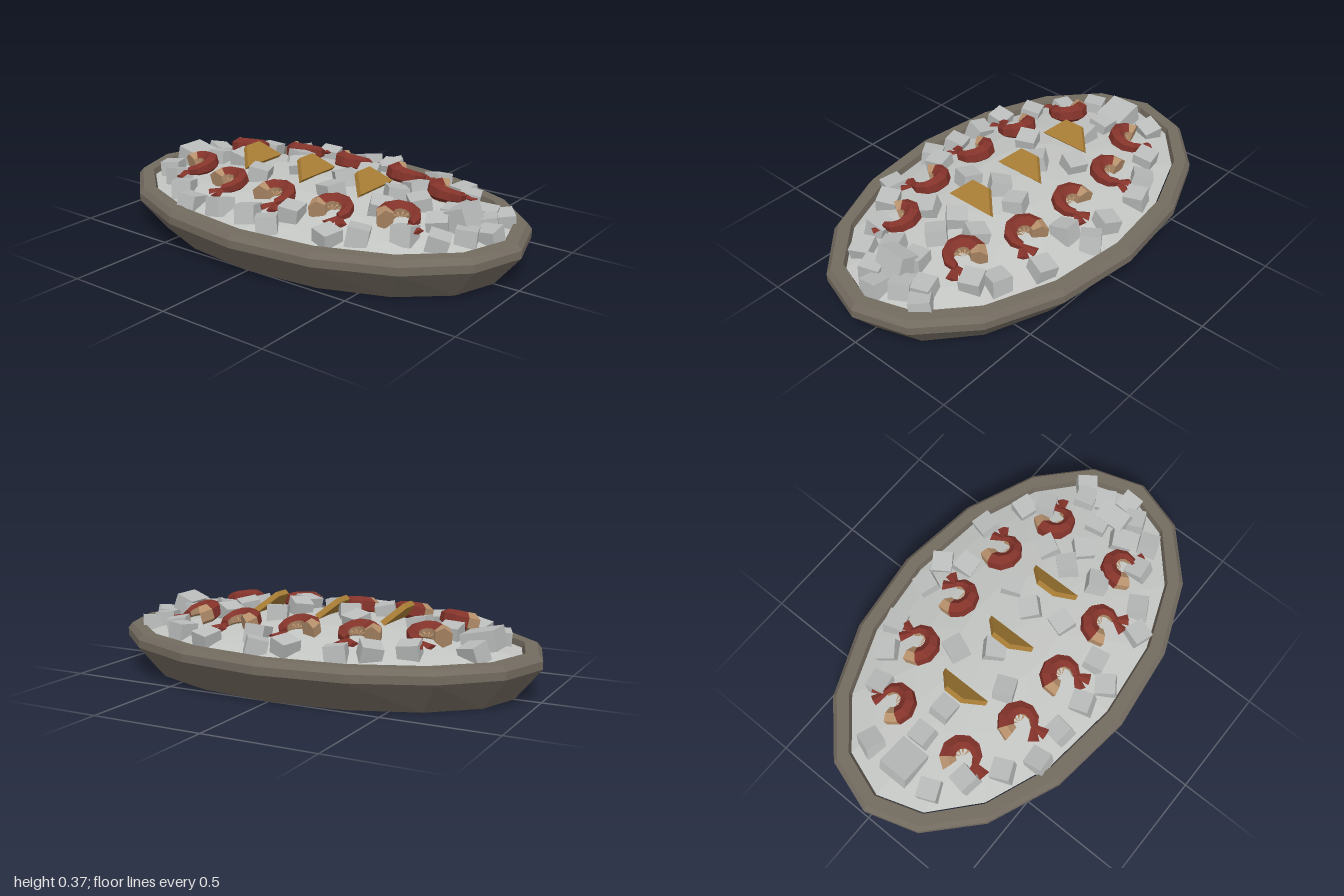
import * as THREE from 'three';

const mat = (name, color, side = THREE.FrontSide) =>
  new THREE.MeshStandardMaterial({ name, color, flatShading: true, side });

// Height of the ice mound at a point
const bedHeight = (x, z) => 0.285 - 0.11 * ((x / 0.915) ** 2 + (z / 0.54) ** 2);

// Small seeded random in -1..1
function seeded(seed) {
  return () => {
    seed = (seed * 16807) % 2147483647;
    return (seed / 2147483647) * 2 - 1;
  };
}

export function createModel() {
  const stone = mat('stone', 0x736b60);
  const ice = mat('ice', 0xc3c5c2);
  const cubeIce = mat('ice cube', 0xb9bcbb);
  const red = mat('red shell', 0x83332a);
  const tan = mat('tan flesh', 0xb58f6b);
  const yellow = mat('lemon', 0xa87d35);

  const model = new THREE.Group();
  const add = (parent, name, geometry, material) => {
    const mesh = new THREE.Mesh(geometry, material);
    mesh.name = name;
    parent.add(mesh);
    return mesh;
  };

  // Oval dish: a 16-sided lathe, narrowed in z by a constant offset
  const dishProfile = [[0, 0], [0.885, 0], [1, 0.14], [1, 0.175], [0.98, 0.2],
    [0.925, 0.2], [0.912, 0.14]].map(p => new THREE.Vector2(...p));
  const dish = new THREE.LatheGeometry(dishProfile, 16);
  const pos = dish.attributes.position;
  for (let i = 0; i < pos.count; i++) {
    const r = Math.hypot(pos.getX(i), pos.getZ(i));
    if (r > 0.4) pos.setZ(i, pos.getZ(i) * (r - 0.375) / r);
  }
  add(model, 'dish', dish, stone);

  // Mound of crushed ice
  const mound = new THREE.LatheGeometry(
    [1, 0.85, 0.6, 0.35, 0].map(e => new THREE.Vector2(e, 0.285 - 0.11 * e * e)), 16);
  mound.scale(0.915, 1, 0.54);
  add(model, 'iceBed', mound, ice);

  // Ice cubes: x, z, turn in tenths of a radian
  const cubes = [
    -0.76, -0.16, -3, -0.54, -0.3, 2, -0.4, -0.38, 6, -0.28, -0.44, 3, -0.05, -0.45, -4,
    0.08, -0.47, 6, 0.13, -0.37, 1, 0.35, -0.43, -3, 0.53, -0.35, -3, 0.6, -0.28, 4,
    -0.63, 0.26, -2, -0.76, 0.17, 4, -0.5, 0.36, 4, -0.37, 0.45, 1, -0.21, 0.44, -2,
    -0.05, 0.44, 3, 0.08, 0.47, 6, 0.13, 0.37, 2, 0.36, 0.43, -3, 0.46, 0.36, 5,
    0.61, 0.25, 1, 0.74, 0.21, 4,
    -0.6, 0, 0, -0.46, 0, 0, -0.12, 0, 6, 0.13, 0, 8, 0.4, 0, 8, 0.52, 0, 8,
    -0.23, 0.15, 4, -0.22, -0.13, -4, 0.17, 0.15, -3, 0.17, -0.13, 4,
    0.42, 0.15, 5, 0.42, -0.13, -5, 0.67, 0.1, 5, 0.67, -0.03, 2,
    0.8, 0.09, 4, 0.86, 0.01, 0, 0.8, -0.08, 5, 0.75, -0.16, 3, 0.81, -0.2, 7,
  ];
  const rand = seeded(77);
  const cubeGeo = new THREE.BoxGeometry(0.09, 0.085, 0.09);
  const cubeGroup = new THREE.Group();
  cubeGroup.name = 'iceCubes';
  model.add(cubeGroup);
  for (let i = 0; i < cubes.length; i += 3) {
    const [x, z, turn] = cubes.slice(i, i + 3);
    const cube = add(cubeGroup, 'iceCube', cubeGeo, cubeIce);
    cube.position.set(x, bedHeight(x, z) + 0.012, z);
    cube.rotation.set(rand() * 0.25, turn / 10, rand() * 0.25, 'YXZ');
  }
  // Two larger blocks at the ends
  for (const [x, tilt] of [[-0.74, 0.22], [0.75, -1.2]]) {
    const block = add(cubeGroup, 'iceBlock', new THREE.BoxGeometry(0.15, 0.09, 0.14), cubeIce);
    block.position.set(x, 0.235, 0.01);
    block.rotation.z = x < 0 ? -tilt : tilt;
  }

  // Lemon wedges leaning back along the middle
  const wedge = new THREE.Shape([[-0.12, 0], [0.12, 0], [0.045, 0.1], [-0.045, 0.1]]
    .map(p => new THREE.Vector2(...p)));
  const wedgeGeo = new THREE.ExtrudeGeometry(wedge, { depth: 0.025, bevelEnabled: false });
  wedgeGeo.translate(0, 0, -0.025);
  for (const x of [-0.32, -0.005, 0.31]) {
    const lemon = add(model, 'lemonWedge', wedgeGeo, yellow);
    lemon.position.set(x, 0.297, 0.01);
    lemon.rotation.set(-0.8, Math.PI / 2, 0, 'YXZ');
  }

  // Curled body: six-sided tapering sweep, split into red shell and tan flesh
  const segments = 7, sides = 6;
  const ringAt = (i, m) => {
    const t = i / segments;
    const a = THREE.MathUtils.degToRad(200 - 250 * t);
    const r = 0.045 - 0.025 * t * t;
    const at = (d, y) => new THREE.Vector3(Math.cos(a) * d, y, -Math.sin(a) * d * m);
    const ring = [];
    for (let j = 0; j < sides; j++) {
      const b = (j - 0.5) * Math.PI / 3;
      ring.push(at(0.064 + Math.cos(b) * r * 0.9, Math.sin(b) * r));
    }
    return { ring, centre: at(0.064, 0) };
  };
  function bodyGeometries(m) {
    const shell = [], flesh = [];
    // Adds a triangle facing away from the given centre
    const tri = (list, a, b, c, centre) => {
      const n = b.clone().sub(a).cross(c.clone().sub(a));
      const out = a.clone().add(b).add(c).divideScalar(3).sub(centre);
      for (const p of n.dot(out) < 0 ? [a, c, b] : [a, b, c]) list.push(p.x, p.y, p.z);
    };
    for (let i = 0; i < segments; i++) {
      const p = ringAt(i, m), q = ringAt(i + 1, m);
      const mid = p.centre.clone().lerp(q.centre, 0.5);
      for (let j = 0; j < sides; j++) {
        const k = (j + 1) % sides;
        const list = i === 0 || j === 3 || j === 4 ? flesh : shell;
        tri(list, p.ring[j], p.ring[k], q.ring[k], mid);
        tri(list, p.ring[j], q.ring[k], q.ring[j], mid);
        if (i === 0) tri(flesh, p.centre, p.ring[j], p.ring[k], mid);
        if (i === segments - 1) tri(shell, q.centre, q.ring[j], q.ring[k], mid);
      }
    }
    return [shell, flesh].map(list => {
      const g = new THREE.BufferGeometry();
      g.setAttribute('position', new THREE.Float32BufferAttribute(list, 3));
      g.computeVertexNormals();
      return g;
    });
  }

  const bladeGeo = new THREE.CylinderGeometry(0.026, 0.01, 0.065, 4);
  bladeGeo.translate(0, 0.0325, 0);
  bladeGeo.scale(1, 1, 0.4);
  const legGeo = new THREE.ConeGeometry(0.009, 0.045, 4);

  // Five prawns on each side, open ends facing outward
  for (const m of [1, -1]) {
    const [shellGeo, fleshGeo] = bodyGeometries(m);
    for (const [x, z] of [[-0.57, 0.19], [-0.3, 0.285], [-0.02, 0.295], [0.28, 0.285], [0.55, 0.19]]) {
      const prawn = new THREE.Group();
      prawn.name = 'prawn';
      prawn.position.set(x, 0.272, z * m + 0.005);
      prawn.rotation.set(0.25 * m, x * 1.1 * m, 0, 'YXZ');
      add(prawn, 'shell', shellGeo, red);
      add(prawn, 'belly', fleshGeo, tan);
      // Forked tail fan
      for (const turn of [0.45, -0.55]) {
        const blade = add(prawn, 'tailBlade', bladeGeo, red);
        blade.position.set(0.042, 0, 0.045 * m);
        blade.rotation.set(m * Math.PI / 2, 0, -turn, 'XYZ');
      }
      // Little legs inside the curl
      for (const a of [2.6, 1.9, 1.2, 0.5]) {
        const leg = add(prawn, 'leg', legGeo, tan);
        const dir = new THREE.Vector3(-Math.cos(a), -0.2, Math.sin(a) * m).normalize();
        leg.position.set(Math.cos(a) * 0.026, 0, -Math.sin(a) * 0.026 * m);
        leg.quaternion.setFromUnitVectors(new THREE.Vector3(0, 1, 0), dir);
      }
      model.add(prawn);
    }
  }
  return model;
}
